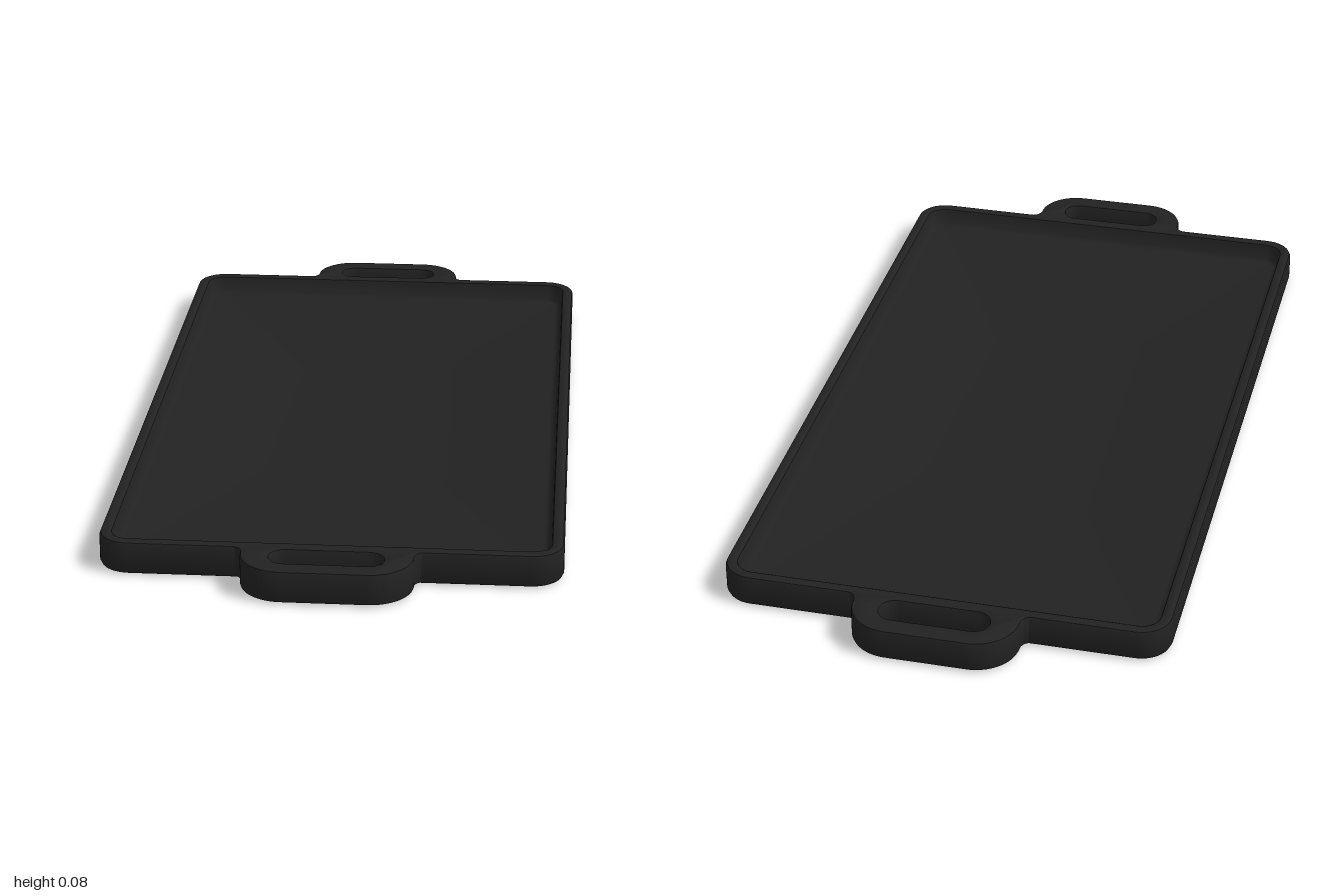
import * as THREE from 'three';
import { toCreasedNormals, mergeVertices } from 'three/addons/utils/BufferGeometryUtils.js';

const HALF_W = 0.5, HALF_L = 0.88, CORNER = 0.07, STEPS = 10;

// Rounded rectangle, inset from the tray outline, at height y
function ring(inset, y) {
  const r = Math.max(CORNER - inset, 0.025);
  const cx = HALF_W - inset - r, cz = HALF_L - inset - r;
  const points = [];
  [[1, 1], [-1, 1], [-1, -1], [1, -1]].forEach(([sx, sz], q) => {
    for (let i = 0; i <= STEPS; i++) {
      const a = (q + i / STEPS) * Math.PI / 2;
      points.push([sx * cx + r * Math.cos(a), y, sz * cz + r * Math.sin(a)]);
    }
  });
  return points;
}

// Skin the rings in order and close both ends with a fan
function loft(profile) {
  const rings = profile.map(([inset, y]) => ring(inset, y));
  const n = rings[0].length, last = rings.length - 1;
  const positions = rings.flat(2), index = [];
  positions.push(0, profile[0][1], 0, 0, profile[last][1], 0);
  const bottom = rings.length * n, top = bottom + 1;
  for (let i = 0; i < n; i++) {
    const j = (i + 1) % n;
    for (let k = 0; k < last; k++) {
      const a = k * n + i, b = k * n + j, c = a + n, d = b + n;
      index.push(a, c, b, b, c, d);
    }
    index.push(bottom, i, j, top, last * n + j, last * n + i);
  }
  const geometry = new THREE.BufferGeometry();
  geometry.setAttribute('position', new THREE.Float32BufferAttribute(positions, 3));
  geometry.setIndex(index);
  return toCreasedNormals(mergeVertices(geometry), 0.7);
}

// Flat loop handle with a slot, flared where it meets the tray
function handleGeometry() {
  const s = new THREE.Shape();
  s.moveTo(-0.21, 0.86);
  s.lineTo(0.21, 0.86);
  s.lineTo(0.21, 0.877);
  s.quadraticCurveTo(0.185, 0.88, 0.185, 0.905);
  s.absarc(0.09, 0.905, 0.095, 0, Math.PI / 2, false);
  s.absarc(-0.09, 0.905, 0.095, Math.PI / 2, Math.PI, false);
  s.quadraticCurveTo(-0.185, 0.88, -0.21, 0.877);
  s.closePath();
  const slot = new THREE.Path();
  slot.absarc(0.088, 0.919, 0.034, Math.PI / 2, -Math.PI / 2, true);
  slot.absarc(-0.088, 0.919, 0.034, -Math.PI / 2, -Math.PI * 1.5, true);
  slot.closePath();
  s.holes.push(slot);
  const bevel = 0.006;
  const geometry = new THREE.ExtrudeGeometry(s, {
    depth: 0.072 - 2 * bevel, curveSegments: 12, bevelEnabled: true,
    bevelThickness: bevel, bevelSize: bevel, bevelOffset: -bevel, bevelSegments: 2,
  });
  geometry.rotateX(Math.PI / 2).translate(0, 0.076 - bevel, 0);
  // Bring the rounded tip to the full length
  return toCreasedNormals(geometry, 0.7);
}

export function createModel() {
  const group = new THREE.Group();
  const castIron = new THREE.MeshStandardMaterial({ color: 0x222222 });
  castIron.name = 'cast iron black';

  // Pan: underside, outer wall, rounded rim, inner wall, shallow floor
  const pan = new THREE.Mesh(loft([
    [0.012, 0], [0.004, 0.004], [0, 0.012], [0, 0.067], [0.003, 0.074], [0.009, 0.077],
    [0.021, 0.077], [0.026, 0.074], [0.028, 0.068], [0.034, 0.036], [0.038, 0.032], [0.046, 0.03],
  ]), castIron);
  pan.name = 'pan';
  group.add(pan);

  // One handle at each end
  const geometry = handleGeometry();
  ['frontHandle', 'backHandle'].forEach((name, i) => {
    const handle = new THREE.Mesh(geometry, castIron);
    handle.name = name;
    handle.rotation.y = i * Math.PI;
    group.add(handle);
  });
  return group;
}
